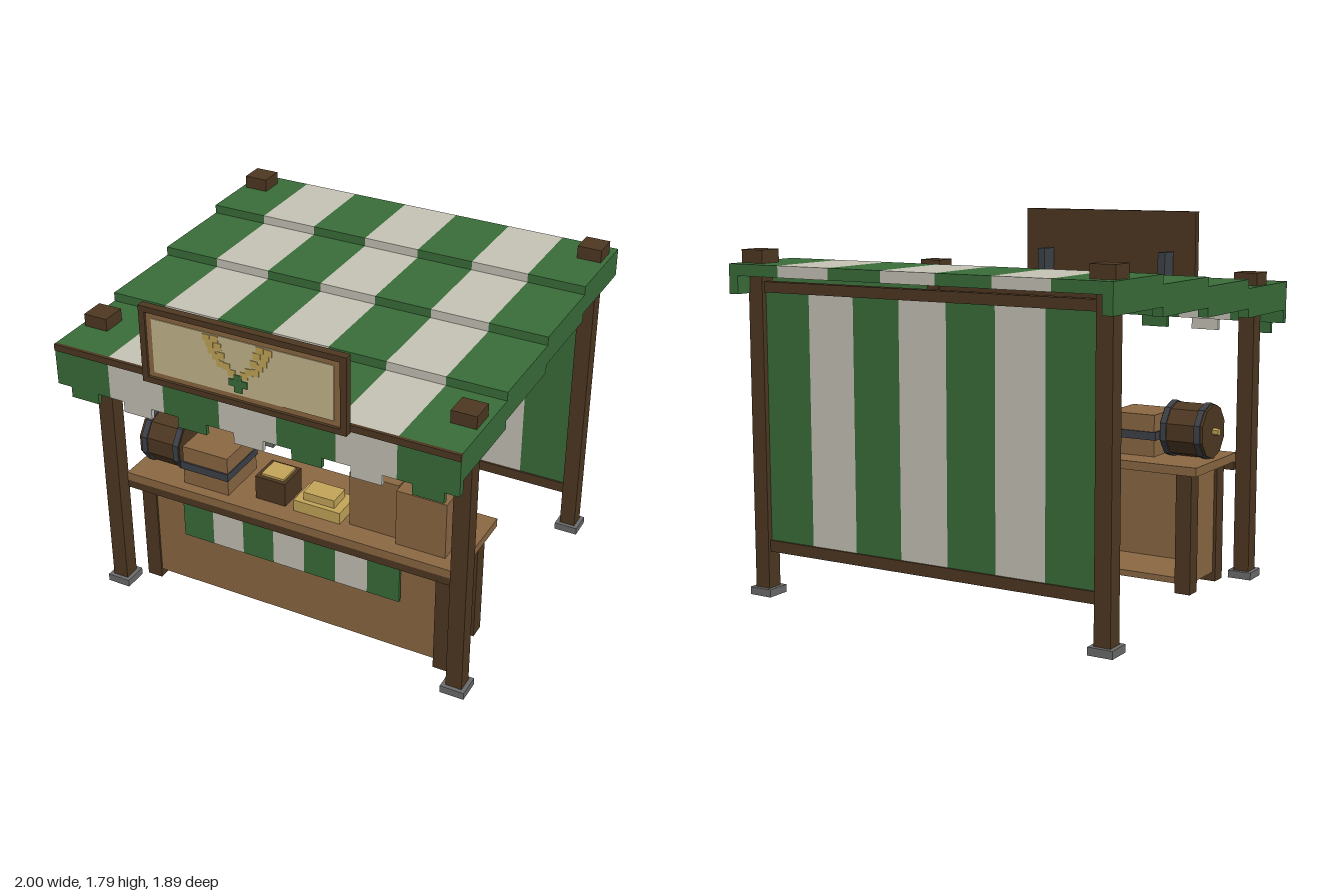
import * as THREE from 'three';

const paint = (name, color) => Object.assign(new THREE.MeshStandardMaterial({ color }), { name });

export function createModel() {
  const green = paint('awning green', 0x3a6d3a);
  const white = paint('awning white', 0xc6c3b6);
  const dark = paint('dark wood', 0x4e3822);
  const wood = paint('light wood', 0x8b6843);
  const iron = paint('iron', 0x3d4147);
  const stone = paint('stone', 0x6c6c6c);
  const gold = paint('gold', 0xc4a558);
  const cream = paint('sign cream', 0xc5b78b);

  const model = new THREE.Group();
  model.name = 'marketStall';

  const group = (name) => {
    const g = new THREE.Group();
    g.name = name;
    model.add(g);
    return g;
  };
  // Box given by its limits on each axis
  const box = (parent, name, mat, x0, x1, y0, y1, z0, z1) => {
    const m = new THREE.Mesh(new THREE.BoxGeometry(x1 - x0, y1 - y0, z1 - z0), mat);
    m.position.set((x0 + x1) / 2, (y0 + y1) / 2, (z0 + z1) / 2);
    m.name = name;
    parent.add(m);
    return m;
  };
  // Row of seven alternating stripes
  const stripes = (parent, name, half, y0, y1, z0, z1) => {
    const w = (2 * half) / 7;
    for (let i = 0; i < 7; i++) {
      box(parent, name, i % 2 ? white : green, -half + i * w, -half + (i + 1) * w, y0, y1, z0, z1);
    }
  };

  // Corner posts with stone feet and wooden caps
  const frame = group('frame');
  for (const s of [-1, 1]) {
    for (const [z, top] of [[0.64, 1.455], [-0.82, 1.585]]) {
      const x = s * 0.917;
      box(frame, 'post', dark, x - 0.04, x + 0.04, 0.035, top, z - 0.04, z + 0.04);
      box(frame, 'postFoot', stone, x - 0.06, x + 0.06, 0, 0.037, z - 0.06, z + 0.06);
      box(frame, 'postCap', dark, x - 0.06, x + 0.06, top, top + 0.063, z - 0.06, z + 0.06);
    }
  }
  box(frame, 'frontBeam', dark, -0.877, 0.877, 1.35, 1.4, 0.615, 0.665);

  // Striped back cloth between two rails
  const back = group('backWall');
  stripes(back, 'backCloth', 0.876, 0.27, 1.45, -0.835, -0.805);
  box(back, 'bottomRail', dark, -0.877, 0.877, 0.215, 0.27, -0.845, -0.795);
  box(back, 'topRail', dark, -0.877, 0.877, 1.45, 1.5, -0.845, -0.795);

  // Stepped roof with side skirts
  const roof = group('roof');
  const edges = [0.905, 0.43, -0.03, -0.49, -0.945];
  for (let i = 0; i < 4; i++) {
    const top = 1.457 + i * 0.0427;
    stripes(roof, 'roofStep', 1, top - 0.055, top, edges[i + 1], edges[i]);
    for (const s of [-1, 1]) {
      box(roof, 'sideSkirt', green, s * 0.975 - 0.025, s * 0.975 + 0.025, top - 0.14, top - 0.055, edges[i + 1], edges[i]);
    }
  }

  // Front valance with one tab per stripe
  const valance = group('valance');
  stripes(valance, 'valanceCloth', 1, 1.252, 1.403, 0.872, 0.905);
  for (let i = 0; i < 7; i++) {
    const x = -1 + (i + 0.5) * (2 / 7);
    box(valance, 'valanceTab', i % 2 ? white : green, x - 0.073, x + 0.073, 1.197, 1.252, 0.88, 0.902);
  }
  box(valance, 'valanceTrim', dark, -1, 1, 1.425, 1.458, 0.893, 0.91);

  // Sign with raised frame, brackets and a leafy ornament
  const sign = group('sign');
  box(sign, 'signBoard', dark, -0.5, 0.5, 1.42, 1.792, 0.907, 0.928);
  for (const s of [-1, 1]) {
    box(sign, 'signFrameSide', dark, s * 0.485 - 0.015, s * 0.485 + 0.015, 1.42, 1.792, 0.928, 0.945);
    const y = 1.606 + s * 0.172;
    box(sign, 'signFrameRail', dark, -0.47, 0.47, y - 0.014, y + 0.014, 0.928, 0.945);
    box(sign, 'signBracket', iron, s * 0.355 - 0.02, s * 0.355 + 0.02, 1.458, 1.585, 0.808, 0.907);
  }
  box(sign, 'signBorder', wood, -0.47, 0.47, 1.45, 1.764, 0.928, 0.934);
  box(sign, 'signPanel', cream, -0.442, 0.438, 1.475, 1.737, 0.934, 0.938);
  const cx = -0.017;
  const leaves = [[0.03, 1.575], [0.055, 1.6], [0.085, 1.605], [0.105, 1.635], [0.125, 1.66],
    [0.135, 1.69], [0.15, 1.715], [0.08, 1.645], [0.095, 1.685], [0.11, 1.718]];
  for (const s of [-1, 1]) {
    for (const [dx, y] of leaves) {
      const x = cx + s * dx;
      box(sign, 'leaf', gold, x - 0.018, x + 0.018, y - 0.016, y + 0.016, 0.938, 0.941);
    }
  }
  box(sign, 'cloverAcross', green, cx - 0.045, cx + 0.045, 1.515, 1.548, 0.938, 0.943);
  box(sign, 'cloverUpright', green, cx - 0.02, cx + 0.02, 1.487, 1.572, 0.938, 0.9425);

  // Counter, open at the back
  const counter = group('counter');
  box(counter, 'counterTop', wood, -0.876, 0.876, 0.587, 0.63, 0.14, 0.61);
  box(counter, 'counterApron', dark, -0.876, 0.876, 0.545, 0.587, 0.582, 0.607);
  for (const s of [-1, 1]) {
    for (const z of [0.515, 0.22]) {
      box(counter, 'counterLeg', dark, s * 0.795 - 0.04, s * 0.795 + 0.04, 0, 0.587, z - 0.04, z + 0.04);
    }
    box(counter, 'counterSide', wood, s * 0.805 - 0.015, s * 0.805 + 0.015, 0.045, 0.587, 0.26, 0.475);
  }
  box(counter, 'counterFront', wood, -0.755, 0.755, 0.045, 0.587, 0.515, 0.545);
  box(counter, 'counterShelf', wood, -0.79, 0.79, 0.045, 0.075, 0.19, 0.515);
  stripes(counter, 'counterCloth', 0.582, 0.335, 0.55, 0.56, 0.575);

  // Barrel lying on its side with two hoops and a tap
  const barrel = group('barrel');
  const drum = (name, mat, r, x0, x1, sides = 10) => {
    const g = new THREE.CylinderGeometry(r, r, x1 - x0, sides).toNonIndexed();
    g.rotateY(Math.PI / sides);
    g.rotateZ(Math.PI / 2);
    g.computeVertexNormals();
    const m = new THREE.Mesh(g, mat);
    m.position.set((x0 + x1) / 2, 0.762, 0.4);
    m.name = name;
    barrel.add(m);
  };
  drum('barrelBody', dark, 0.133, -0.845, -0.62);
  drum('barrelHoop', iron, 0.14, -0.832, -0.802);
  drum('barrelHoop', iron, 0.14, -0.655, -0.625);
  drum('barrelTap', gold, 0.018, -0.876, -0.845, 6);

  // Strapped chest
  const chest = group('chest');
  box(chest, 'chestBody', wood, -0.582, -0.335, 0.63, 0.835, 0.29, 0.555);
  box(chest, 'chestStrap', iron, -0.593, -0.33, 0.712, 0.752, 0.282, 0.563);

  // Small crate of gold
  const crate = group('smallCrate');
  box(crate, 'crateBody', dark, -0.21, -0.05, 0.63, 0.753, 0.35, 0.51);
  box(crate, 'crateFilling', gold, -0.187, -0.067, 0.753, 0.764, 0.37, 0.49);

  // Stacked gold slabs
  const slabs = group('goldSlabs');
  box(slabs, 'lowerSlab', gold, 0, 0.245, 0.63, 0.69, 0.36, 0.52);
  box(slabs, 'upperSlab', gold, 0.04, 0.203, 0.69, 0.732, 0.385, 0.495);

  // Two square sacks with tied tops
  for (const [x, z, k] of [[0.285, 0.25, 0.065], [0.54, 0.29, 0.06]]) {
    const sack = group('sack');
    box(sack, 'sackBody', wood, x, x + 0.249, 0.63, 0.92, z, z + 0.247);
    box(sack, 'sackNeck', cream, x + k + 0.02, x + k + 0.125, 0.92, 0.94, z + 0.085, z + 0.17);
    box(sack, 'sackTop', wood, x + k, x + k + 0.125, 0.938, 0.983, z + 0.065, z + 0.18);
    box(sack, 'sackTag', gold, x + k + 0.115, x + k + 0.145, 0.92, 0.96, z + 0.06, z + 0.1);
  }

  return model;
}
